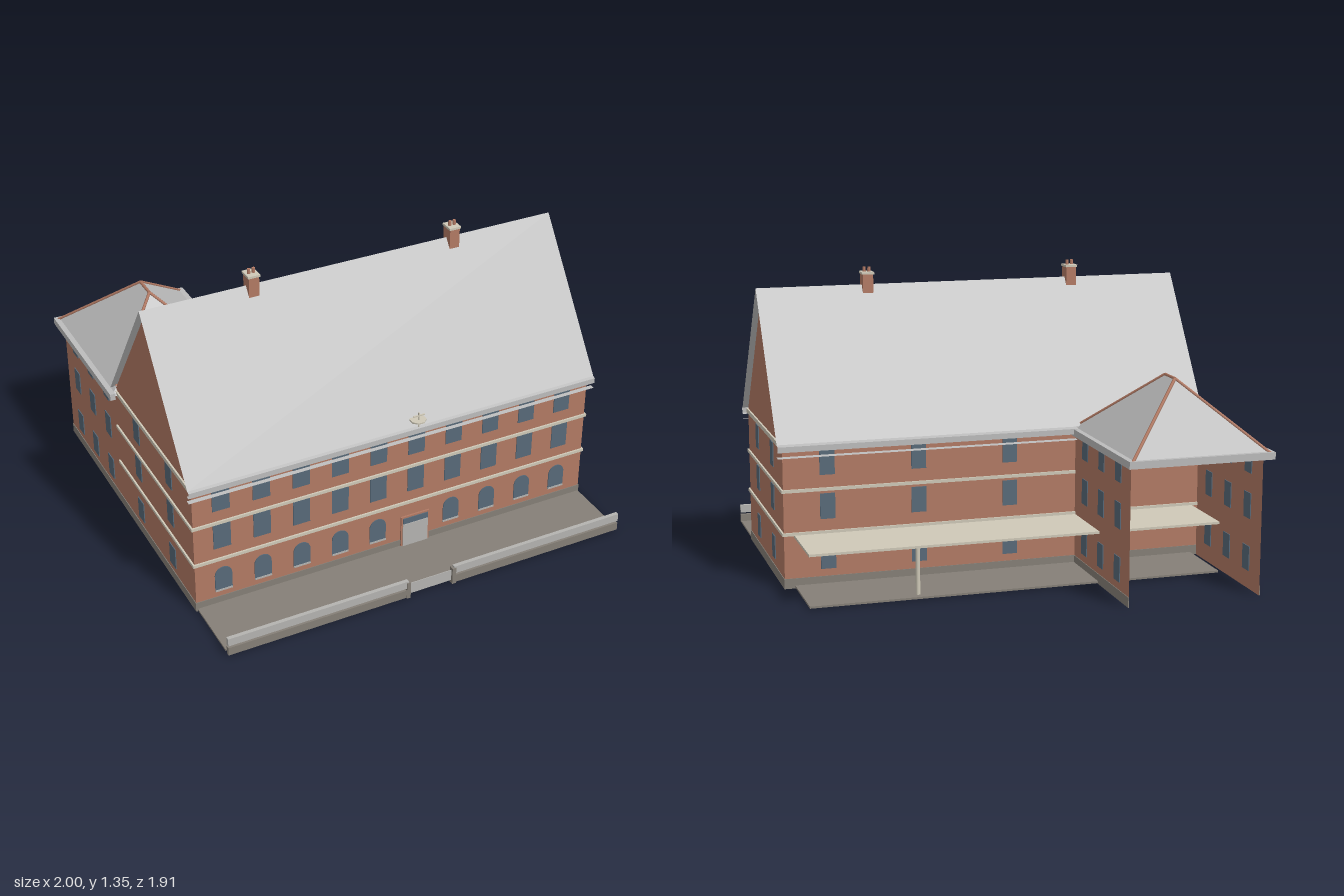
import * as THREE from 'three';

const mat = (name, color, side = THREE.FrontSide) => {
  const m = new THREE.MeshStandardMaterial({ color, side });
  m.name = name;
  return m;
};

export function createModel() {
  const model = new THREE.Group();
  model.name = 'building';
  const brick = mat('brick', 0xb27a64, THREE.DoubleSide);
  const slate = mat('roof grey', 0xbcbcbc, THREE.DoubleSide);
  const stone = mat('base stone', 0x857f77);
  const cream = mat('cream trim', 0xcfc9b8);
  const glass = mat('window glass', 0x586a79);
  const pale = mat('pale grey', 0xb4b3b0);

  const add = (name, geo, m, x = 0, y = 0, z = 0, ry = 0) => {
    const mesh = new THREE.Mesh(geo, m);
    mesh.name = name;
    mesh.position.set(x, y, z);
    mesh.rotation.y = ry;
    model.add(mesh);
    return mesh;
  };
  // Box given by its extents on each axis
  const box = (name, m, x0, x1, y0, y1, z0, z1) =>
    add(name, new THREE.BoxGeometry(x1 - x0, y1 - y0, z1 - z0), m, (x0 + x1) / 2, (y0 + y1) / 2, (z0 + z1) / 2);
  // Flat sheet from triangles or quads of corner points
  const sheet = (name, m, faces) => {
    const p = [];
    for (const f of faces) for (let i = 1; i < f.length - 1; i++) p.push(...f[0], ...f[i], ...f[i + 1]);
    const g = new THREE.BufferGeometry();
    g.setAttribute('position', new THREE.Float32BufferAttribute(p, 3));
    g.computeVertexNormals();
    return add(name, g, m);
  };
  // Sheet swept along x from a [z, y] profile
  const sweep = (name, m, pts, x0, x1) => sheet(name, m, pts.slice(1).map(([z, y], i) => {
    const [pz, py] = pts[i];
    return [[x0, py, pz], [x0, y, z], [x1, y, z], [x1, py, pz]];
  }));
  const rod = (name, m, a, b, r) => {
    const A = new THREE.Vector3(...a), B = new THREE.Vector3(...b);
    return add(name, new THREE.TubeGeometry(new THREE.LineCurve3(A, B), 1, r, 6), m);
  };

  const X0 = -0.96, X1 = 0.975, ZF = 0.625, ZB = -0.235, EAVE = 0.64;
  const WX = -0.36, WZ = -0.92;

  // Main walls and gables, open underneath
  sweep('frontWall', brick, [[ZF, 0], [ZF, EAVE]], X0, X1);
  sweep('backWall', brick, [[ZB, 0], [ZB, EAVE]], X0, X1);
  for (const x of [X0, X1]) {
    const s = x < 0 ? 1 : -1;
    const pts = [[x, 0, ZB], [x, 0, ZF], [x, EAVE, ZF], [x, 1.24, 0.195], [x, EAVE, ZB]];
    sheet('gableWall', brick, [s > 0 ? pts : pts.reverse()]);
  }

  // Wing side walls, the far end is open
  sheet('wingOuterWall', brick, [[[X0, 0, WZ], [X0, 0, ZB], [X0, 0.62, ZB], [X0, 0.62, WZ]]]);
  sheet('wingInnerWall', brick, [[[WX, 0, ZB], [WX, 0, WZ], [WX, 0.62, WZ], [WX, 0.62, ZB]]]);

  // Plinth, string courses and cornice as strips round the main block
  const ring = (name, m, y0, y1, t) => {
    box(name, m, X0 - t, X1 + t, y0, y1, ZF, ZF + t);
    box(name, m, X0 - t, X1 + t, y0, y1, ZB - t, ZB);
    box(name, m, X0 - t, X0, y0, y1, ZB, ZF);
    box(name, m, X1, X1 + t, y0, y1, ZB, ZF);
  };
  ring('plinth', stone, 0, 0.045, 0.003);
  ring('lowerBand', cream, 0.237, 0.251, 0.008);
  ring('upperBand', cream, 0.429, 0.443, 0.008);
  ring('cornice', cream, 0.62, 0.64, 0.008);
  box('wingPlinth', stone, X0 - 0.003, X0, 0, 0.045, WZ, ZB);
  box('wingPlinth', stone, WX, WX + 0.003, 0, 0.045, WZ, ZB);

  // Windows: thin plates with an optional curved head, set through the wall
  const pane = (w, h, rise = 0) => {
    const s = new THREE.Shape();
    s.moveTo(-w / 2, 0);
    s.lineTo(w / 2, 0);
    s.lineTo(w / 2, h - rise);
    if (rise) s.absellipse(0, h - rise, w / 2, rise, 0, Math.PI, false);
    else s.lineTo(-w / 2, h);
    s.closePath();
    return new THREE.ExtrudeGeometry(s, { depth: 0.008, bevelEnabled: false, curveSegments: 12 }).translate(0, 0, -0.004);
  };
  const arched = pane(0.08, 0.117, 0.04), segmental = pane(0.08, 0.135, 0.018), square = pane(0.08, 0.112);
  for (let i = 0; i < 10; i++) {
    const x = -0.83 + i * 0.186;
    add('topWindow', square, glass, x, 0.498, ZF);
    add('middleWindow', segmental, glass, x, 0.303, ZF);
    if (i === 5) continue;
    add('archedWindow', arched, glass, x, 0.08, ZF);
    box('windowSill', pale, x - 0.04, x + 0.04, 0.074, 0.083, ZF - 0.005, ZF + 0.006);
  }
  const sidePanes = [[0.5, pane(0.067, 0.11)], [0.303, pane(0.067, 0.114)], [0.078, pane(0.067, 0.105)]];
  for (const [y, g] of sidePanes) {
    for (const x of [0.78, 0.37, -0.05]) add('backWindow', g, glass, x, y, ZB);
    for (const x of [X0, X1]) for (const z of [0.378, 0.008]) add('gableWindow', g, glass, x, y, z, Math.PI / 2);
  }
  for (const [y, g] of [[0.515, pane(0.067, 0.085)], [0.313, pane(0.067, 0.114)], [0.08, pane(0.067, 0.11)]])
    for (const x of [X0, WX]) for (const z of [-0.37, -0.576, -0.78]) add('wingWindow', g, glass, x, y, z, Math.PI / 2);

  // Entrance door with transom light
  box('doorFrame', brick, 0.03, 0.172, 0.01, 0.17, ZF - 0.003, ZF + 0.008);
  box('transomLight', glass, 0.038, 0.164, 0.133, 0.162, ZF - 0.005, ZF + 0.012);
  box('frontDoor', pale, 0.038, 0.164, 0.01, 0.13, ZF - 0.005, ZF + 0.012);

  // Main roof sheet with eaves and gutters
  sweep('mainRoof', slate, [[0.637, 0.645], [0.19, 1.266], [-0.247, 0.645]], -0.98, 1.0);
  sweep('frontGutter', slate, [[0.637, 0.645], [0.65, 0.64], [0.65, 0.615], [0.627, 0.613]], -0.98, 1.0);
  sweep('frontDrip', slate, [[0.627, 0.59], [0.648, 0.588]], -0.98, 1.0);
  sweep('backGutter', slate, [[-0.247, 0.645], [-0.272, 0.64], [-0.272, 0.615], [-0.24, 0.613]], -0.36, 1.0);
  sweep('backDrip', slate, [[-0.24, 0.59], [-0.27, 0.588]], -0.36, 1.0);

  // Hipped wing roof with brick-coloured hip tiles
  const y = 0.625, L = -0.99, R = -0.35, F = -0.2, B = -0.95;
  const a = [-0.67, 0.915, -0.52], b = [-0.67, 0.915, -0.63];
  const lf = [L, y, F], rf = [R, y, F], lb = [L, y, B], rb = [R, y, B];
  sheet('wingRoof', slate, [[lf, rf, a], [rf, rb, b, a], [rb, lb, b], [lb, lf, a, b]]);
  const toward = (p, q, t) => p.map((v, i) => v + (q[i] - v) * t);
  for (const [p, q] of [[a, b], [a, toward(a, lf, 0.9)], [a, toward(a, rf, 0.9)], [b, lb], [b, rb]])
    rod('hipTiles', brick, p, q, 0.007);
  box('wingGutter', slate, -1.0, -0.975, 0.606, 0.638, -0.955, -0.2);
  box('wingGutter', slate, -0.365, -0.34, 0.606, 0.638, -0.955, -0.24);
  box('wingGutter', slate, -0.975, -0.365, 0.606, 0.638, -0.955, -0.93);

  // Chimneys with caps and paired pots
  for (const x of [-0.474, 0.494]) {
    box('chimney', brick, x - 0.024, x + 0.024, 1.15, 1.315, 0.164, 0.222);
    box('chimneyCap', cream, x - 0.028, x + 0.028, 1.313, 1.323, 0.16, 0.226);
    for (const d of [-0.011, 0.011])
      add('chimneyPot', new THREE.CylinderGeometry(0.007, 0.008, 0.024, 8), brick, x + d, 1.333, 0.193);
  }

  // Eaves ornament above the entrance
  add('ornamentPlate', new THREE.CylinderGeometry(0.037, 0.037, 0.007, 8).rotateY(Math.PI / 8), cream, 0.1, 0.675, 0.632);
  box('ornamentPost', cream, 0.097, 0.103, 0.64, 0.715, 0.637, 0.643);
  box('ornamentBar', cream, 0.072, 0.128, 0.697, 0.703, 0.637, 0.643);

  // Front terrace, low wall with raised rail, posts and gate
  box('terrace', stone, -0.955, X1, 0.004, 0.013, ZF, 0.92);
  for (const [p, q, post] of [[-0.955, -0.105, -0.105], [0.12, X1, 0.12]]) {
    box('lowWall', stone, p, q, 0.004, 0.043, 0.935, 0.953);
    box('wallRail', pale, p, q, 0.053, 0.09, 0.935, 0.953);
    box('gatePost', stone, post - 0.009, post + 0.009, 0, 0.083, 0.932, 0.956);
  }
  box('gate', pale, -0.096, 0.111, 0.015, 0.07, 0.942, 0.945);

  // Rear veranda: paving, canopy and columns, running on into the wing
  box('rearPaving', stone, -0.93, 0.93, 0.004, 0.013, -0.557, ZB);
  box('canopy', cream, -0.93, 0.93, 0.228, 0.239, -0.557, ZB);
  for (const x of [-0.45, 0.45])
    add('canopyColumn', new THREE.CylinderGeometry(0.01, 0.01, 0.22, 12), cream, x, 0.12, -0.515);

  return model;
}
